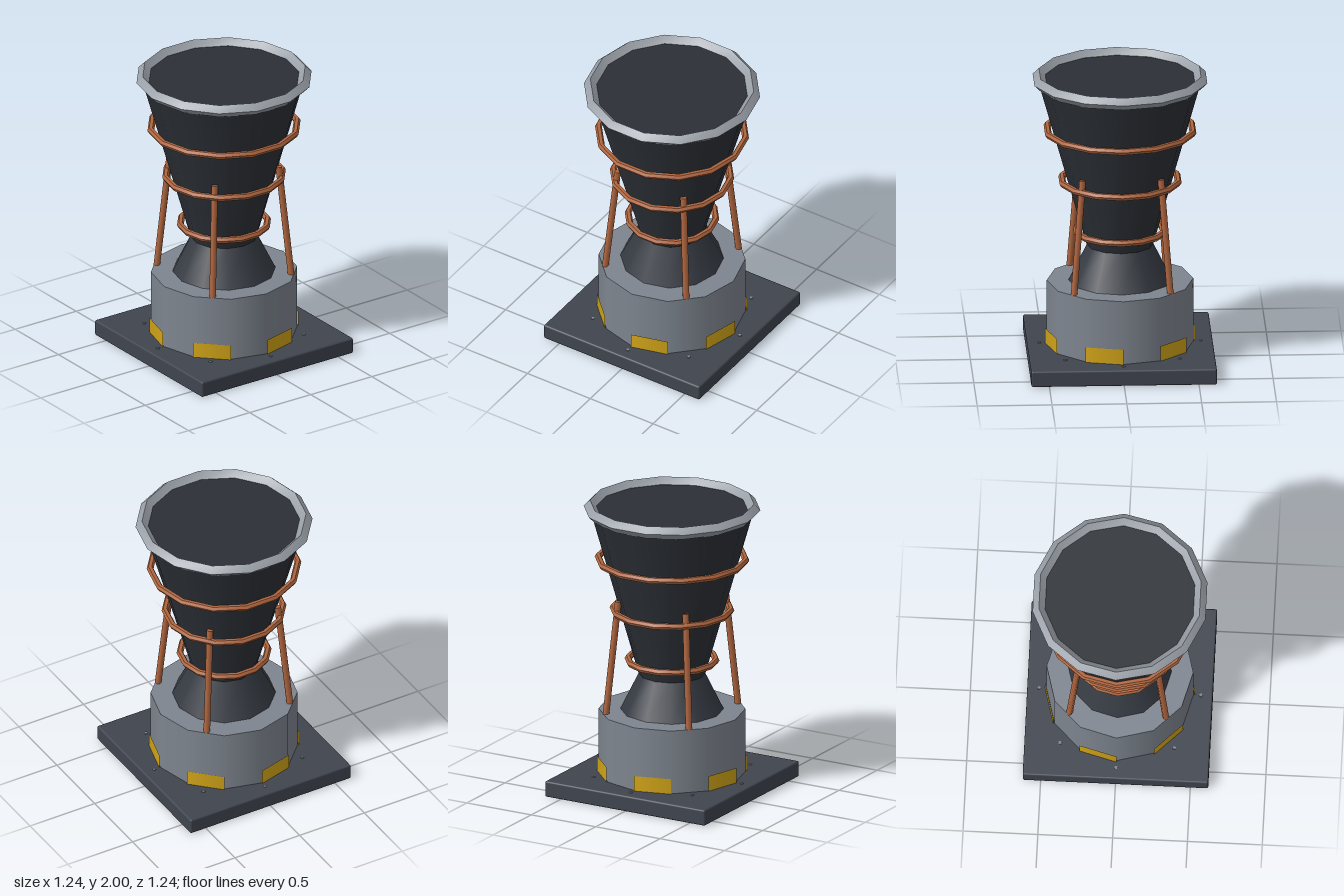
import * as THREE from 'three';
import { toCreasedNormals } from 'three/addons/utils/BufferGeometryUtils.js';
import { RoundedBoxGeometry } from 'three/addons/geometries/RoundedBoxGeometry.js';

const paint = (color, side = THREE.FrontSide) => new THREE.MeshStandardMaterial({ color, side });

export function createModel() {
  const model = new THREE.Group();
  const slate = paint(0x3f444e), dark = paint(0x2c3036), chamberGrey = paint(0x353a42);
  const steel = paint(0x7e858f), pale = paint(0x9aa0a8), copper = paint(0xb0663f);
  const yellow = paint(0xd0a318, THREE.DoubleSide);

  const add = (name, geometry, material, x = 0, y = 0, z = 0) => {
    const mesh = new THREE.Mesh(geometry, material);
    mesh.name = name;
    mesh.position.set(x, y, z);
    model.add(mesh);
    return mesh;
  };
  // Truncated cone standing between two heights
  const cone = (name, rTop, rBottom, y0, y1, material) =>
    add(name, new THREE.CylinderGeometry(rTop, rBottom, y1 - y0, 12), material, 0, (y0 + y1) / 2, 0);
  // Horizontal faceted hoop
  const hoop = (name, radius, tube, sides, y, material) =>
    add(name, toCreasedNormals(new THREE.TorusGeometry(radius, tube, sides, 14).rotateX(Math.PI / 2), 0.6),
      material, 0, y, 0);

  // Square base plate with a ring of bolts
  add('basePlate', new RoundedBoxGeometry(1.24, 0.11, 1.24, 2, 0.012), slate, 0, 0.055, 0);
  for (let i = 0; i < 8; i++) {
    const a = i * Math.PI / 4;
    add('bolt', new THREE.CylinderGeometry(0.012, 0.012, 0.02, 6), steel,
      0.54 * Math.sin(a), 0.106, 0.54 * Math.cos(a));
  }

  // Drum, with yellow panels on alternate faces
  cone('drum', 0.49, 0.49, 0.105, 0.55, steel);
  for (let i = 0; i < 6; i++) {
    add('hazardPanel',
      new THREE.CylinderGeometry(0.5, 0.5, 0.11, 1, 1, true, i * Math.PI / 3, Math.PI / 6),
      yellow, 0, 0.16, 0);
  }

  // Chamber narrowing to the throat, then the flaring bell
  cone('chamber', 0.222, 0.345, 0.55, 0.8, chamberGrey);
  cone('bell', 0.55, 0.224, 0.8, 1.955, dark);
  hoop('rim', 0.55, 0.0425, 4, 1.9575, pale);

  // Copper cooling rings
  [[0.295, 0.895], [0.395, 1.25], [0.495, 1.603]].forEach(([r, y]) =>
    hoop('coolingRing', r, 0.023, 6, y, copper));

  // Four feed pipes leaning in from the drum to the bell
  for (const sx of [-1, 1]) for (const sz of [-1, 1]) {
    const foot = new THREE.Vector3(0.322 * sx, 0.54, 0.322 * sz);
    const head = new THREE.Vector3(0.262 * sx, 1.33, 0.262 * sz);
    const path = new THREE.LineCurve3(foot, head);
    const pipe = new THREE.CylinderGeometry(0.022, 0.022, path.getLength(), 6);
    const mesh = add('feedPipe', pipe, copper);
    mesh.position.copy(path.getPoint(0.5));
    mesh.quaternion.setFromUnitVectors(new THREE.Vector3(0, 1, 0), path.getTangent(0));
  }
  return model;
}
